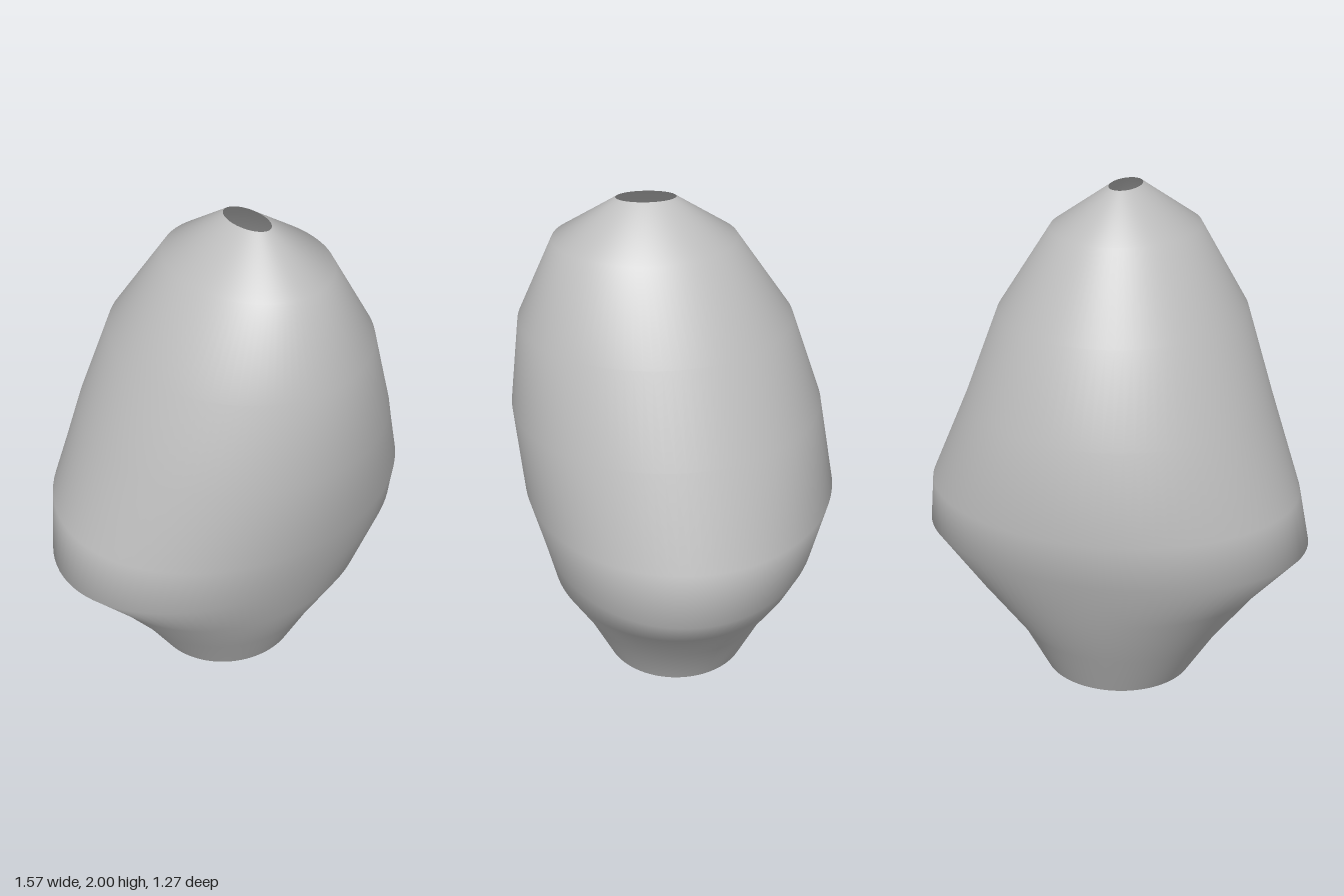
import * as THREE from 'three';

// Elliptical cross-sections from bottom to top: [y, left-most x, right-most x, back z, front z]
const RINGS = [
  [0.0, -0.315, 0.3, -0.295, 0.29],
  [0.2, -0.44, 0.405, -0.395, 0.39],
  [0.425, -0.61, 0.605, -0.505, 0.505],
  [0.62, -0.785, 0.785, -0.565, 0.545],
  [0.83, -0.74, 0.755, -0.63, 0.605],
  [1.18, -0.605, 0.61, -0.57, 0.64],
  [1.53, -0.485, 0.485, -0.45, 0.6],
  [1.845, -0.287, 0.287, -0.235, 0.46],
  [2.0, -0.06, 0.06, -0.005, 0.22],
];
const SEGMENTS = 96;

// Joins the closed rings into one smooth tube, open at both ends
function loft(rings, segments) {
  const positions = [];
  const indices = [];
  rings.forEach(([y, x0, x1, z0, z1], r) => {
    for (let i = 0; i < segments; i++) {
      const a = (i / segments) * Math.PI * 2;
      positions.push(
        (x0 + x1) / 2 + ((x1 - x0) / 2) * Math.sin(a),
        y,
        (z0 + z1) / 2 + ((z1 - z0) / 2) * Math.cos(a),
      );
      if (r === rings.length - 1) continue;
      const next = (i + 1) % segments;
      const p = r * segments + i;
      const q = r * segments + next;
      indices.push(p, q, q + segments, p, q + segments, p + segments);
    }
  });
  const geometry = new THREE.BufferGeometry();
  geometry.setAttribute('position', new THREE.Float32BufferAttribute(positions, 3));
  geometry.setIndex(indices);
  geometry.computeVertexNormals();
  return geometry;
}

export function createModel() {
  const grey = new THREE.MeshStandardMaterial({ color: 0xbfbfbf, side: THREE.DoubleSide });
  grey.name = 'light grey';

  // Hollow shell with a round foot opening and a small slit at the top
  const shell = new THREE.Mesh(loft(RINGS, SEGMENTS), grey);
  shell.name = 'shell';

  const model = new THREE.Group();
  model.name = 'hollowVessel';
  model.add(shell);
  return model;
}
